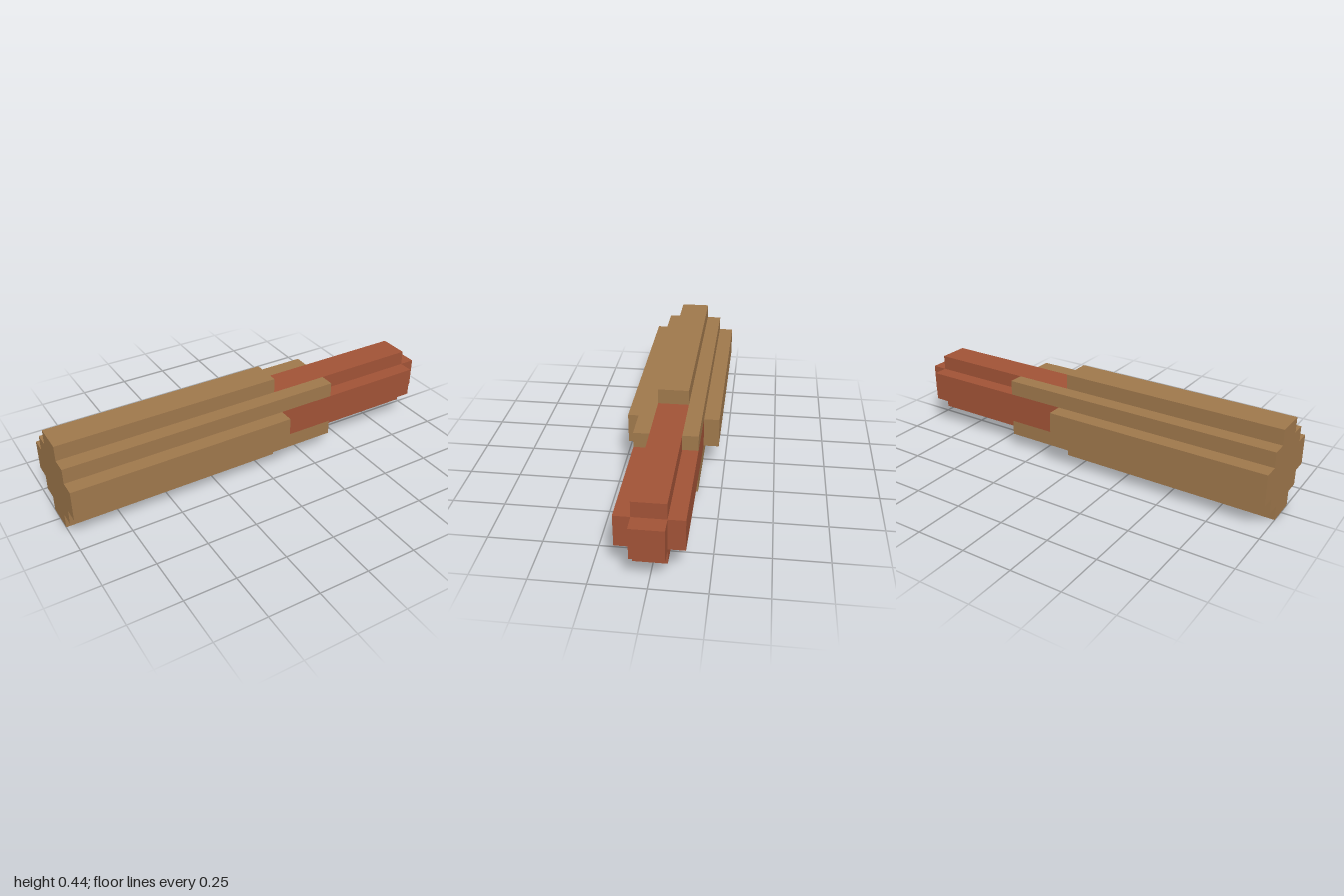
import * as THREE from 'three';

const U = 0.0741;        // one grid step of the stepped cross-section
const CY = 3 * U;        // height of the long axis

// Stepped, four-way symmetric profile from one quadrant's corner points
function steppedShape(quadrant) {
  const points = [];
  for (let q = 0; q < 4; q++) {
    for (const [a, b] of quadrant) {
      let p = [a * U, b * U];
      for (let i = 0; i < q; i++) p = [-p[1], p[0]];
      points.push(new THREE.Vector2(p[0], p[1]));
    }
  }
  return new THREE.Shape(points);
}

// Prism of a profile running along x
function prism(name, shape, x0, x1, material) {
  const geometry = new THREE.ExtrudeGeometry(shape, { depth: x1 - x0, bevelEnabled: false });
  geometry.rotateY(Math.PI / 2);
  const mesh = new THREE.Mesh(geometry, material);
  mesh.name = name;
  mesh.position.set(x0, CY, 0);
  return mesh;
}

export function createModel() {
  const wrap = new THREE.MeshStandardMaterial({ color: 0x9e774b });
  wrap.name = 'tan wrap';
  const red = new THREE.MeshStandardMaterial({ color: 0xa05236 });
  red.name = 'rust red';

  const model = new THREE.Group();
  model.name = 'steppedRod';

  // Thick tan sleeve
  const sleeve = steppedShape([[3, -1], [3, 1], [2, 1], [2, 2], [1, 2], [1, 3]]);
  model.add(prism('sleeve', sleeve, -1, 0.11, wrap));

  // Four tan corner strips reaching past the sleeve
  const strips = new THREE.Group();
  strips.name = 'cornerStrips';
  for (const sy of [-1, 1]) {
    for (const sz of [-1, 1]) {
      const strip = new THREE.Mesh(new THREE.BoxGeometry(0.29, U, U), wrap);
      strip.name = 'cornerStrip';
      strip.position.set(0.255, CY + sy * 1.5 * U, sz * 1.5 * U);
      strips.add(strip);
    }
  }
  model.add(strips);

  // Red cross-shaped core and its square tip
  const core = steppedShape([[2, -1], [2, 1], [1, 1]]);
  model.add(prism('core', core, 0.11, 0.923, red));
  model.add(prism('tip', steppedShape([[1, 1]]), 0.923, 1, red));

  return model;
}
